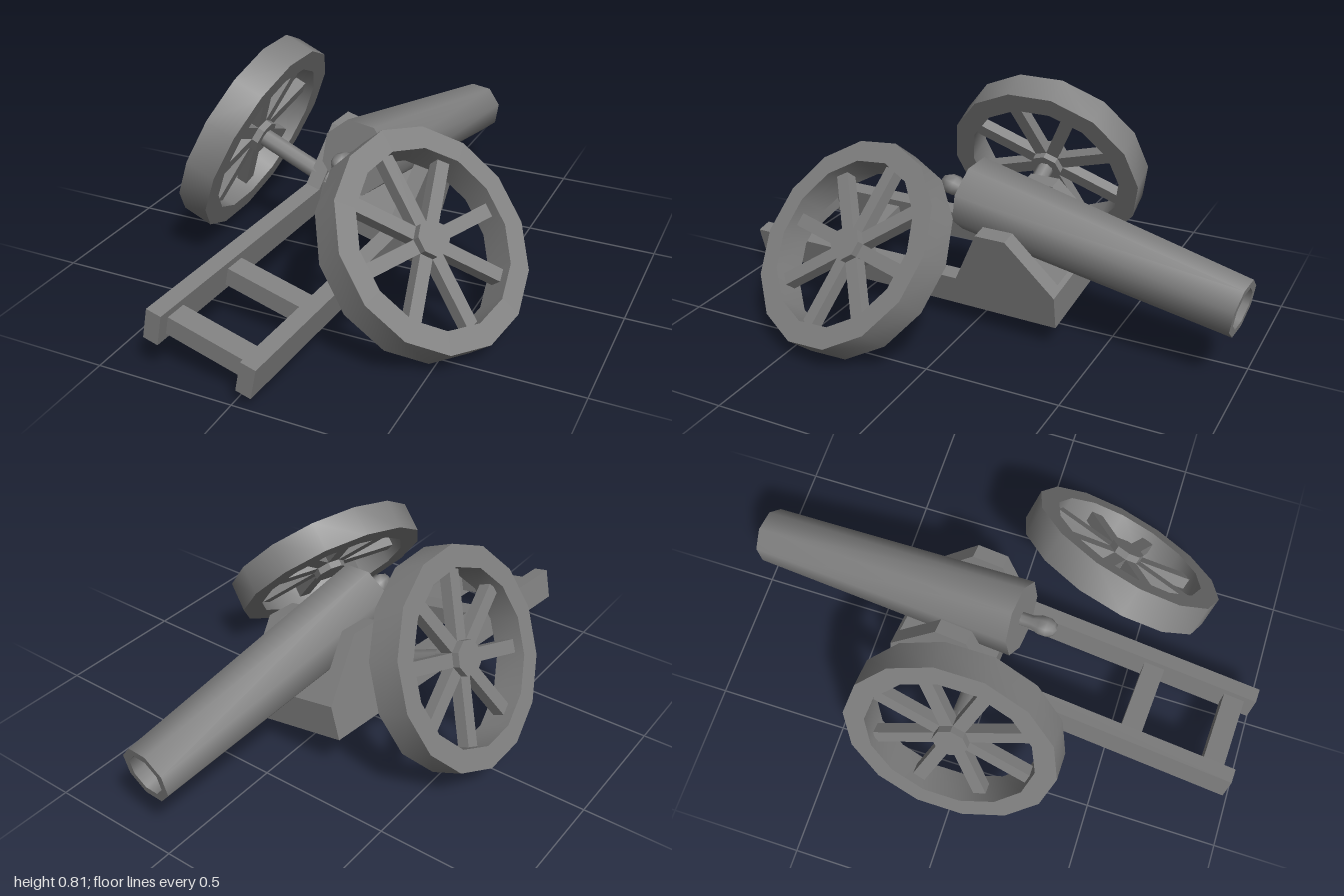
import * as THREE from 'three';
import { toCreasedNormals } from 'three/addons/utils/BufferGeometryUtils.js';

const material = new THREE.MeshStandardMaterial({ color: 0x808080 });

function add(parent, name, geometry, x = 0, y = 0, z = 0) {
  const mesh = new THREE.Mesh(geometry, material);
  mesh.name = name;
  mesh.position.set(x, y, z);
  parent.add(mesh);
  return mesh;
}

// Group placed at a point, its local x along xDir and local z near zHint
function placedGroup(name, position, xDir, zHint) {
  const x = new THREE.Vector3(...xDir).normalize();
  const y = new THREE.Vector3(...zHint).cross(x).normalize();
  const z = x.clone().cross(y);
  const group = new THREE.Group();
  group.name = name;
  group.position.set(...position);
  group.quaternion.setFromRotationMatrix(new THREE.Matrix4().makeBasis(x, y, z));
  return group;
}

const smooth = (geometry) => toCreasedNormals(geometry, 0.9);
const toPoints = (list) => list.map(([a, b]) => new THREE.Vector2(a, b));

// Extrude a shape centred across local x; shape x runs towards -z
function slab(shape, width) {
  const geometry = new THREE.ExtrudeGeometry(shape, { depth: width, bevelEnabled: false });
  return geometry.translate(0, 0, -width / 2).rotateY(Math.PI / 2);
}

// Regular polygon with flats facing the first axis
function polygon(radius, sides) {
  const points = [];
  for (let i = 0; i < sides; i++) {
    const a = ((i + 0.5) / sides) * Math.PI * 2;
    points.push(new THREE.Vector2(radius * Math.cos(a), radius * Math.sin(a)));
  }
  return points;
}

// Spoked wheel, spun about its local x axis
function makeWheel(name, position, axis, spin) {
  const wheel = placedGroup(name, position, axis, [-axis[2], 0, axis[0]]);
  wheel.rotateX(spin);
  const rim = new THREE.Shape(polygon(0.395, 14));
  rim.holes.push(new THREE.Path(polygon(0.315, 14).reverse()));
  add(wheel, 'rim', smooth(slab(rim, 0.12)));
  add(wheel, 'hub', slab(new THREE.Shape(polygon(0.066, 8)), 0.1));
  for (let i = 0; i < 8; i++) {
    const a = (i / 8) * Math.PI * 2;
    const spoke = new THREE.BoxGeometry(0.045, 0.28, 0.05).translate(0, 0.185, 0).rotateX(a);
    add(wheel, 'spoke', spoke);
  }
  return wheel;
}

// Carriage: two cheeks with long trails, a bed and two rungs
function makeCarriage() {
  const carriage = placedGroup('carriage', [-0.134, 0.088, 0.982], [0.97, -0.225, 0.07], [-0.074, -0.033, 1]);
  const profile = [[0, 0], [1.348, 0], [1.358, 0.135], [1.19, 0.34], [1.07, 0.34], [0.95, 0.12], [0, 0.12]];
  const cheek = new THREE.Shape(toPoints(profile));
  for (const side of [-1, 1]) {
    add(carriage, side < 0 ? 'rightCheek' : 'leftCheek', slab(cheek, 0.058), side * 0.181, 0, 0);
  }
  const bed = [[0.97, 0], [1.348, 0], [1.358, 0.135], [1.345, 0.15], [0.97, 0.15]];
  add(carriage, 'bed', slab(new THREE.Shape(toPoints(bed)), 0.306));
  for (const s of [0.08, 0.405]) {
    add(carriage, 'rung', new THREE.BoxGeometry(0.31, 0.07, 0.08), 0, 0.057, -s);
  }
  return carriage;
}

// Tapered octagonal barrel with an open bore, built up its own y axis
function makeBarrel() {
  const breech = new THREE.Vector3(-0.008, 0.455, 0.075);
  const along = new THREE.Vector3(0.09, 0.275, -0.98).sub(breech);
  const length = along.length();
  const barrel = new THREE.Group();
  barrel.name = 'barrel';
  barrel.position.copy(breech);
  barrel.quaternion.setFromUnitVectors(new THREE.Vector3(0, 1, 0), along.normalize());
  const profile = [[0, 0], [0.142, 0], [0.106, length], [0.076, length], [0.076, length - 0.4], [0, length - 0.4]];
  add(barrel, 'tube', smooth(new THREE.LatheGeometry(toPoints(profile), 8, Math.PI / 8)));
  const knob = [[0, -0.139], [0.024, -0.13], [0.038, -0.105], [0.038, -0.075], [0.026, -0.045], [0.026, 0.005]];
  add(barrel, 'knob', new THREE.LatheGeometry(toPoints(knob), 8));
  return barrel;
}

export function createModel() {
  const model = new THREE.Group();
  model.name = 'brokenCannon';
  model.add(makeCarriage(), makeBarrel());

  // Wheel still on its axle, and the loose one leaning on the other side
  const mounted = makeWheel('rightWheel', [-0.483, 0.435, -0.027], [0.914, -0.407, 0], (Math.PI * 5) / 14);
  add(mounted, 'axle', new THREE.CylinderGeometry(0.034, 0.034, 0.35, 8).rotateZ(Math.PI / 2), 0.175, 0, 0);
  model.add(mounted);
  model.add(makeWheel('leftWheel', [0.383, 0.34, 0.355], [0.72, 0.64, 0.27], 0));
  return model;
}
